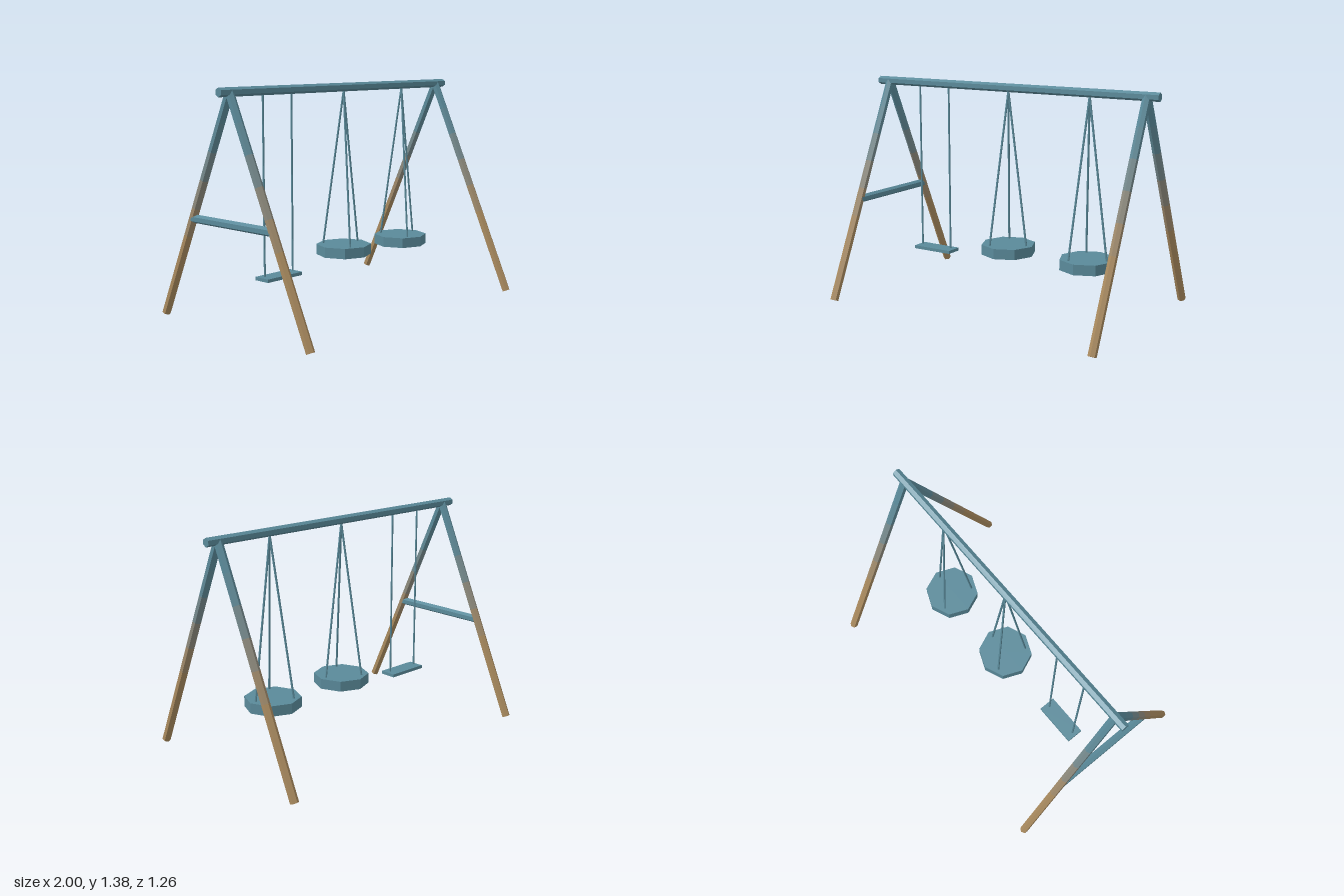
import * as THREE from 'three';

const TEAL = new THREE.Color(0x5a8a9a);
const BROWN = new THREE.Color(0xa98a5e);
const material = (color) => new THREE.MeshStandardMaterial({ color, flatShading: true });
const teal = material(TEAL);
const v = (x, y, z) => new THREE.Vector3(x, y, z);

// Straight prism from a to b; roll turns its sides about its own axis
function strut(name, a, b, radius, { sides = 6, roll = 0, open = false, mat = teal } = {}) {
  const dir = b.clone().sub(a);
  const geo = new THREE.CylinderGeometry(radius, radius, dir.length(), sides, 1, open);
  geo.rotateY(roll);
  const mesh = new THREE.Mesh(geo, mat);
  mesh.name = name;
  mesh.position.copy(a).add(b).multiplyScalar(0.5);
  mesh.quaternion.setFromUnitVectors(v(0, 1, 0), dir.normalize());
  return mesh;
}

// Leg in short bands that fade from bare wood at the foot to paint at the top
const BANDS = 8;
const bandMaterials = Array.from({ length: BANDS }, (_, i) =>
  material(BROWN.clone().lerp(TEAL, THREE.MathUtils.smoothstep(i / (BANDS - 1), 0.25, 0.95))));

function leg(name, foot, top) {
  const group = new THREE.Group();
  group.name = name;
  for (let i = 0; i < BANDS; i++) {
    group.add(strut('legBand', foot.clone().lerp(top, i / BANDS), foot.clone().lerp(top, (i + 1) / BANDS),
      0.0255, { open: i > 0 && i < BANDS - 1, mat: bandMaterials[i] }));
  }
  return group;
}

// Flat plank seat on two vertical ropes
function plankSwing(x) {
  const group = new THREE.Group();
  group.name = 'plankSwing';
  const seat = new THREE.Mesh(new THREE.BoxGeometry(0.278, 0.02, 0.106), teal);
  seat.name = 'plankSeat';
  seat.position.set(x, 0.269, 0);
  group.add(seat);
  for (const s of [-1, 1]) {
    const rx = x + s * 0.113;
    group.add(strut('rope', v(rx, 0.284, 0), v(rx, 1.335, 0), 0.006));
  }
  return group;
}

// Octagonal seat hung from one point by three ropes
function discSwing(x, bottom) {
  const group = new THREE.Group();
  group.name = 'discSwing';
  const top = bottom + 0.064;
  group.add(strut('discSeat', v(x, bottom, 0), v(x, top, 0), 0.171, { sides: 8 }));
  for (let i = 0; i < 3; i++) {
    const a = (i * Math.PI * 2) / 3;
    const end = v(x + 0.131 * Math.cos(a), top, 0.131 * Math.sin(a));
    group.add(strut('rope', end, v(x, 1.335, 0), 0.0065));
  }
  return group;
}

export function createModel() {
  const model = new THREE.Group();
  model.name = 'swingSet';
  const ridge = 1.353;

  // Frame: top beam, two pairs of splayed legs, one brace
  model.add(strut('topBeam', v(-1, ridge, 0), v(1, ridge, 0), 0.0265, { roll: Math.PI / 6 }));
  for (const x of [-0.92, 0.92]) {
    for (const s of [-1, 1]) {
      model.add(leg(s > 0 ? 'frontLeg' : 'backLeg', v(x, 0.011, s * 0.607), v(x, ridge, 0)));
    }
  }
  model.add(strut('crossBrace', v(-0.92, 0.618, -0.333), v(-0.92, 0.618, 0.333), 0.0255));

  // Swings
  model.add(plankSwing(-0.561), discSwing(0, 0.315), discSwing(0.558, 0.301));
  return model;
}
